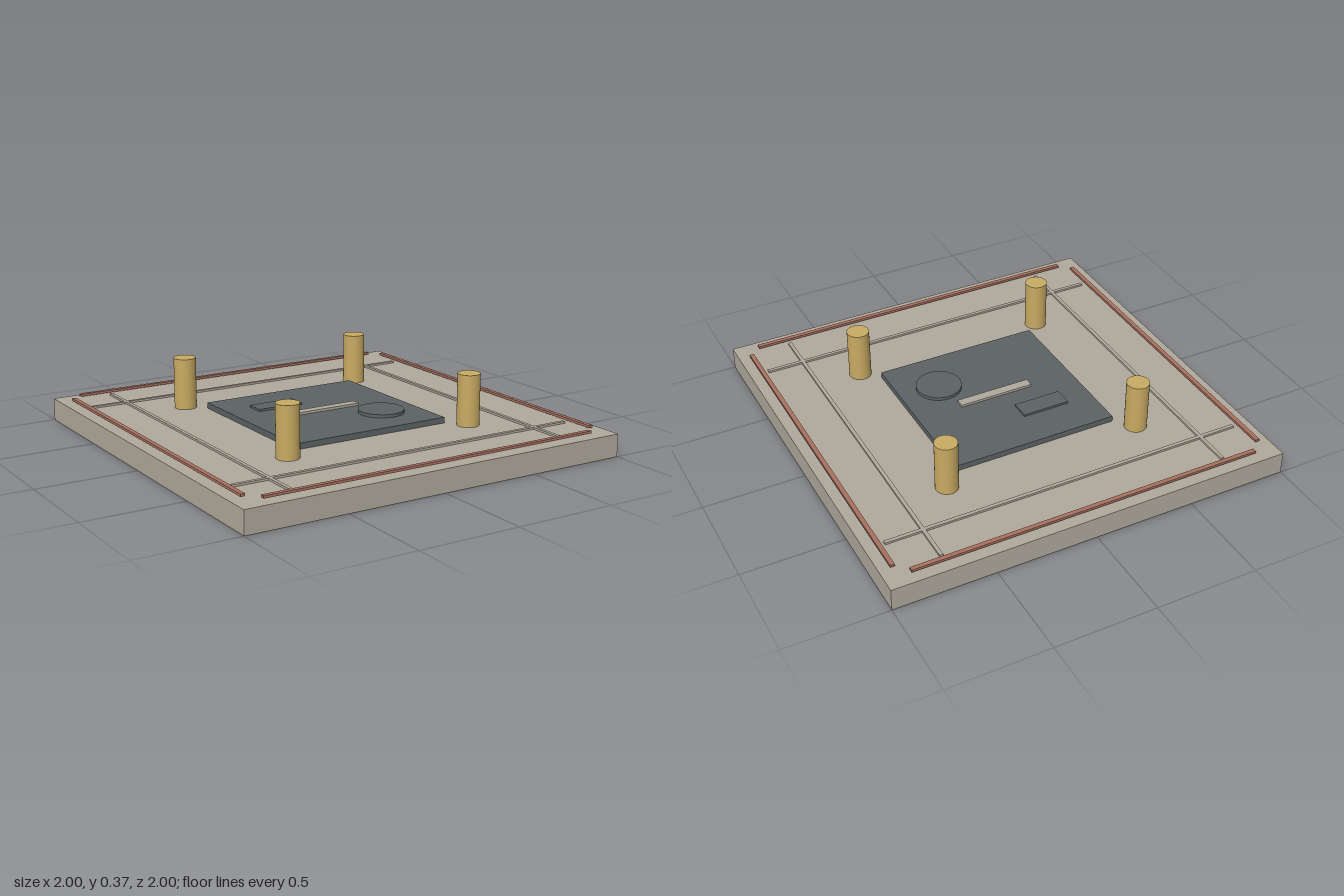
import * as THREE from 'three';

const material = (name, color) => new THREE.MeshStandardMaterial({ name, color });

export function createModel() {
  const model = new THREE.Group();
  model.name = 'squarePlatform';
  const stone = material('warm grey stone', 0xb0a99c);
  const slate = material('dark slate', 0x5c6365);
  const copper = material('copper', 0xa8705f);
  const brass = material('brass', 0xc8aa62);

  const add = (name, geometry, mat, x, bottom, height, z) => {
    const mesh = new THREE.Mesh(geometry, mat);
    mesh.name = name;
    mesh.position.set(x, bottom + height / 2, z);
    model.add(mesh);
  };
  const box = (name, mat, w, h, d, x, bottom, z) =>
    add(name, new THREE.BoxGeometry(w, h, d), mat, x, bottom, h, z);
  const cylinder = (name, mat, r, h, x, bottom, z) =>
    add(name, new THREE.CylinderGeometry(r, r, h, 32), mat, x, bottom, h, z);

  // Base slab
  box('baseSlab', stone, 2, 0.112, 2, 0, 0, 0);

  // Raised ribs and copper rails along all four sides
  for (const s of [-1, 1]) {
    box('crossRib', stone, 1.815, 0.01, 0.018, 0, 0.112, s * 0.722);
    box('lengthRib', stone, 0.018, 0.01, 1.815, s * 0.722, 0.112, 0);
    box('crossRail', copper, 1.76, 0.012, 0.022, 0, 0.121, s * 0.938);
    box('lengthRail', copper, 0.022, 0.012, 1.76, s * 0.938, 0.121, 0);
  }

  // Brass posts
  for (const x of [-0.5, 0.5])
    for (const z of [-0.5, 0.5]) cylinder('post', brass, 0.055, 0.255, x, 0.111, z);

  // Central plate with its fittings
  box('centrePlate', slate, 0.84, 0.03, 0.84, 0, 0.111, 0);
  box('smallBlock', slate, 0.24, 0.012, 0.095, -0.163, 0.14, -0.183);
  box('lightBar', stone, 0.38, 0.012, 0.047, 0, 0.141, -0.002);
  cylinder('roundDisc', slate, 0.113, 0.017, 0.217, 0.14, 0.178);

  return model;
}
